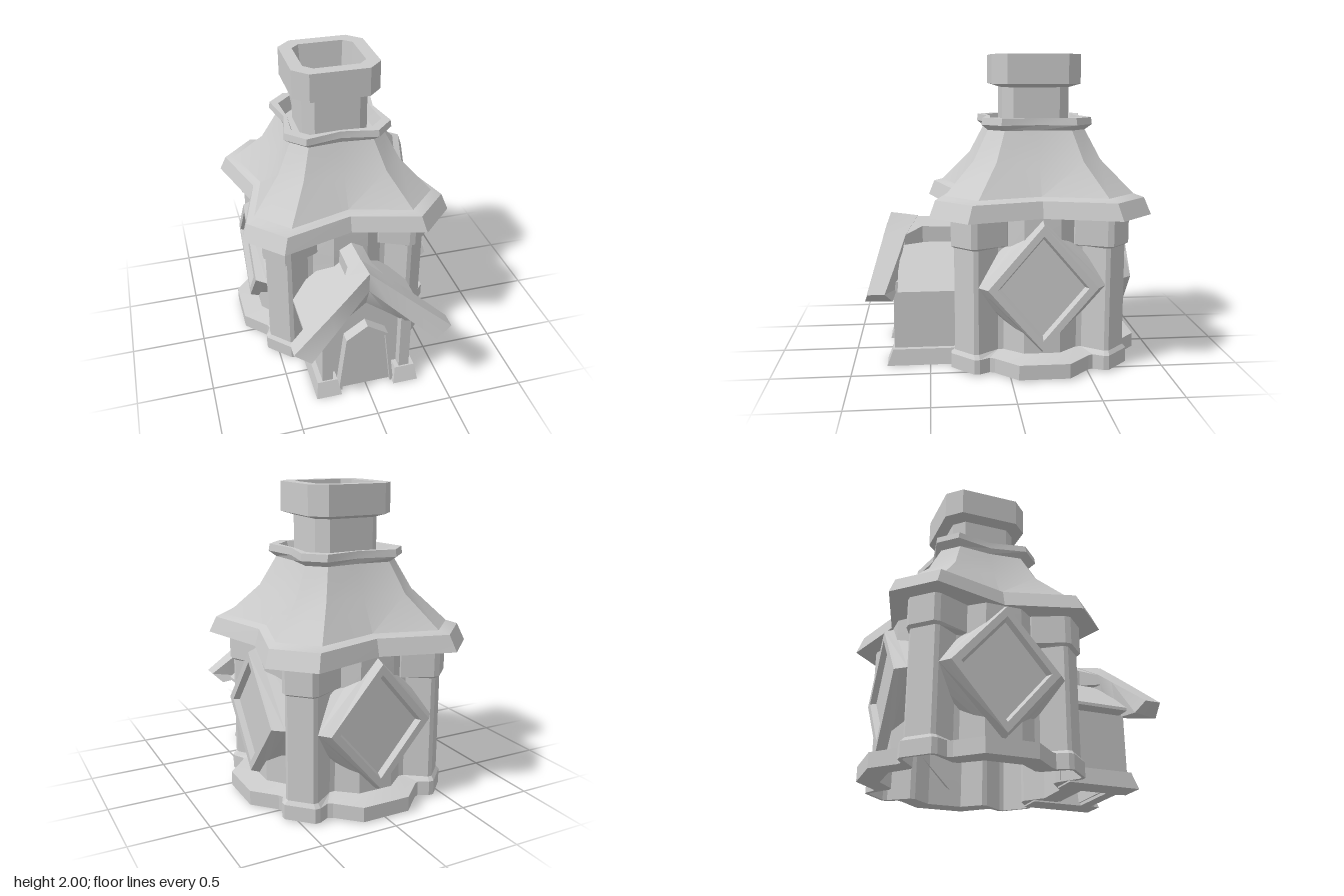
import * as THREE from 'three';
import { toCreasedNormals } from 'three/addons/utils/BufferGeometryUtils.js';

const material = new THREE.MeshStandardMaterial({ color: 0xcccccc });
const openMaterial = new THREE.MeshStandardMaterial({ color: 0xcccccc, side: THREE.DoubleSide });

function addMesh(parent, name, geometry, mat = material) {
  const mesh = new THREE.Mesh(geometry, mat);
  mesh.name = name;
  parent.add(mesh);
  return mesh;
}

// Skin through rings of points, with optional caps on the first and last ring.
// Each ring runs counter-clockwise seen from the end the loft travels towards.
function loft(rings, crease = 0.4, capStart = true, capEnd = true) {
  const pos = [];
  const tri = (a, b, c) => pos.push(...a, ...b, ...c);
  const n = rings[0].length;
  const centre = (r) => [0, 1, 2].map((k) => r.reduce((s, p) => s + p[k], 0) / n);
  const first = rings[0], last = rings[rings.length - 1];
  const c0 = centre(first), c1 = centre(last);
  for (let i = 0; i < n; i++) {
    const j = (i + 1) % n;
    for (let k = 0; k + 1 < rings.length; k++) {
      const a = rings[k], b = rings[k + 1];
      tri(a[i], a[j], b[j]);
      tri(a[i], b[j], b[i]);
    }
    if (capStart) tri(first[j], first[i], c0);
    if (capEnd) tri(last[i], last[j], c1);
  }
  const g = new THREE.BufferGeometry();
  g.setAttribute('position', new THREE.Float32BufferAttribute(pos, 3));
  return toCreasedNormals(g, crease);
}

// Four-sided ring at height y; half = [along, out] points from the middle of a side to its corner.
function ring4(y, half) {
  const side = [...half.filter((p) => p[0] > 0).reverse().map(([t, d]) => [-t, d]), ...half];
  const pts = [];
  for (let k = 0; k < 4; k++) {
    for (const [t, d] of side) {
      let x = t, z = d;
      for (let r = 0; r < k; r++) [x, z] = [z, -x];
      pts.push([x, y, z]);
    }
  }
  return pts;
}
const rectRing = (y, x0, x1, z0, z1) => [[x0, y, z1], [x1, y, z1], [x1, y, z0], [x0, y, z0]];

function extrude(points, z0, z1) {
  const shape = new THREE.Shape(points.map(([x, y]) => new THREE.Vector2(x, y)));
  const g = new THREE.ExtrudeGeometry(shape, { depth: z1 - z0, bevelEnabled: false });
  return g.translate(0, 0, z0);
}
const mirrored = (half) => [...half, ...half.filter((p) => p[0] > 0).reverse().map(([x, y]) => [-x, y])];

function buildHouse() {
  const house = new THREE.Group();
  house.name = 'house';
  house.position.z = -0.205;

  // walls bulging in the middle of each side, faceted corner pillars with wider tops; open below
  const wall = [[0.115, 0.55], [0.235, 0.45], [0.27, 0.45], [0.4, 0.545], [0.43, 0.545]];
  const top = [[0.115, 0.551], [0.209, 0.472], [0.215, 0.478], [0.405, 0.565], [0.445, 0.565]];
  addMesh(house, 'walls',
    loft([ring4(0.1, wall), ring4(0.8, wall), ring4(0.815, top), ring4(1.01, top)], 0.2, false, false), openMaterial);

  // plinth skirt following the walls, open inside
  const foot = [[0.16, 0.685], [0.3, 0.55], [0.33, 0.535], [0.395, 0.57], [0.43, 0.57]];
  addMesh(house, 'plinth', loft([ring4(0.1, wall), ring4(0.01, wall), ring4(0.01, foot),
    ring4(0.105, foot), ring4(0.13, wall)], 0.2, false, false), openMaterial);

  // curved roof with pulled-out corners: [y, middle, along, out]
  const roof = [
    [1.0, 0.565, 0.47, 0.7], [1.105, 0.535, 0.44, 0.66], [1.125, 0.485, 0.4, 0.6],
    [1.33, 0.37, 0.275, 0.41], [1.52, 0.295, 0.215, 0.315], [1.555, 0.31, 0.24, 0.357],
    [1.6, 0.305, 0.235, 0.352], [1.6, 0.285, 0.2, 0.3], [1.51, 0.26, 0.19, 0.27],
  ];
  addMesh(house, 'roof', loft(roof.map(([y, m, a, b]) => ring4(y, [[0, m], [a, b]]))));

  // hollow chimney: [y, along, out]
  const chimney = [
    [1.5, 0.15, 0.218], [1.79, 0.15, 0.218], [1.812, 0.195, 0.288], [2, 0.195, 0.288],
    [2, 0.15, 0.205], [1.6, 0.13, 0.18],
  ];
  addMesh(house, 'chimney', loft(chimney.map(([y, a, b]) => ring4(y, [[a, b]]))));

  // diamond windows on the sides and back: [out, half width, half height]
  const frame = [
    [0.43, 0.49, 0.48], [0.545, 0.4, 0.427], [0.612, 0.345, 0.4],
    [0.612, 0.285, 0.335], [0.575, 0.265, 0.31],
  ];
  const windowGeometry = loft(frame.map(([z, w, h]) => [[w, 0, z], [0, h, z], [-w, 0, z], [0, -h, z]]), 0.1, false);
  ['leftWindow', 'backWindow', 'rightWindow'].forEach((name, i) => {
    const pane = addMesh(house, name, windowGeometry);
    pane.position.y = 0.565;
    pane.rotation.y = (i + 1) * Math.PI / 2;
  });
  return house;
}

function buildPorch() {
  const porch = new THREE.Group();
  porch.name = 'porch';

  // hollow gabled walls, front panel and the roof prism over them
  const inner = [[-0.25, 0.02], [-0.25, 0.48], [0, 0.68], [0.25, 0.48], [0.25, 0.02]];
  addMesh(porch, 'porchWalls', extrude([...mirrored([[0.3, 0.02], [0.3, 0.5], [0, 0.75]]), ...inner], 0.26, 0.67));
  addMesh(porch, 'porchFront', extrude(inner, 0.63, 0.665));
  addMesh(porch, 'porchRoof', extrude(
    [...mirrored([[0.4, 0.49], [0.4, 0.51], [0, 0.825]]), [-0.29, 0.49], [0, 0.72], [0.29, 0.49]], 0.26, 0.7));

  // door and its surround
  addMesh(porch, 'doorSurround', extrude(
    [[0.19, 0], [0.14, 0.43], [0, 0.525], [-0.14, 0.43], [-0.19, 0],
      [-0.168, 0], [-0.122, 0.418], [0, 0.5], [0.122, 0.418], [0.168, 0]], 0.64, 0.74));
  addMesh(porch, 'door', extrude(mirrored([[0.17, 0], [0.125, 0.42], [0, 0.505]]), 0.64, 0.715));

  // ridge cap flaring into the gable boards: [z, half width, edge height, ridge height]
  const cap = [[0.3, 0.08, 0.86, 0.905], [0.54, 0.08, 0.87, 0.925], [0.66, 0.15, 0.825, 0.925]];
  addMesh(porch, 'ridgeCap', loft(cap.map(([z, w, e, r]) =>
    [[-w, 0.76, z], [w, 0.76, z], [w, e, z], [0, r, z], [-w, e, z]]), 0.2));

  // slices of one gable board: top front, top back, bottom back, bottom front
  const slices = [
    [[0, 0.955, 0.75], [0, 0.93, 0.57], [0, 0.68, 0.69], [0, 0.82, 0.75]],
    [[0.14, 0.84, 0.79], [0.15, 0.83, 0.65], [0.13, 0.585, 0.7], [0.13, 0.705, 0.8]],
    [[0.255, 0.745, 0.82], [0.26, 0.74, 0.685], [0.255, 0.49, 0.712], [0.245, 0.605, 0.845]],
    [[0.515, 0.53, 0.88], [0.515, 0.53, 0.775], [0.45, 0.465, 0.73], [0.41, 0.46, 0.905]],
  ];
  for (const s of [1, -1]) {
    const label = s > 0 ? 'left' : 'right';
    const rings = slices.map((slice) => {
      const r = slice.map(([x, y, z]) => [s * x, y, z]);
      return s > 0 ? r.reverse() : r;
    });
    addMesh(porch, label + 'GableBoard', loft(rings, 0.4));

    // door post and tapered footing
    const span = (a, b) => (s > 0 ? [a, b] : [-b, -a]);
    addMesh(porch, label + 'Post', new THREE.BoxGeometry(0.07, 0.45, 0.09)).position.set(s * 0.265, 0.325, 0.685);
    addMesh(porch, label + 'Footing', loft([
      rectRing(0, ...span(0.18, 0.35), 0.3, 0.78),
      rectRing(0.105, ...span(0.2, 0.335), 0.3, 0.74),
    ], 0.1));
  }
  return porch;
}

export function createModel() {
  const model = new THREE.Group();
  model.name = 'cottage';
  model.add(buildHouse(), buildPorch());
  return model;
}
